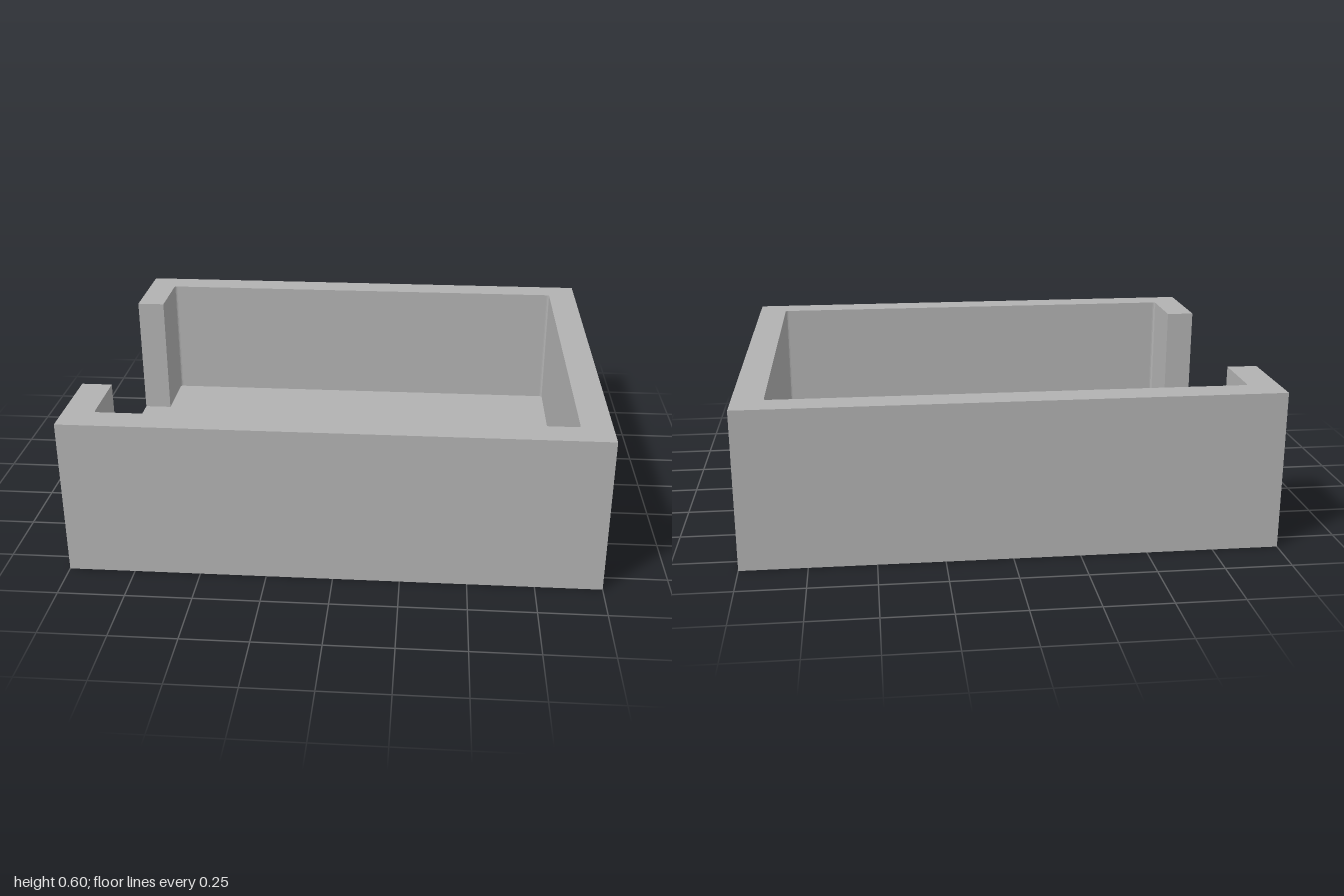
import * as THREE from 'three';

const HALF_X = 1, HALF_Z = 0.833, HEIGHT = 0.605;
const FLOOR = 0.09;                   // floor thickness
const IN_X = 0.884, IN_Z = 0.718;     // pocket half sizes
const GAP = 0.463;                    // half width of the side opening
const R = 0.012;                      // tiny fillet in the pocket corners

export function createModel() {
  const model = new THREE.Group();
  model.name = 'openTray';
  const grey = new THREE.MeshStandardMaterial({ color: 0xb2b2b2 });
  grey.name = 'plain grey';

  // Floor slab
  const floor = new THREE.Mesh(new THREE.BoxGeometry(2 * HALF_X, FLOOR, 2 * HALF_Z), grey);
  floor.name = 'floor';
  floor.position.y = FLOOR / 2;
  model.add(floor);

  // C-shaped wall, open in the middle of the -x side
  const s = new THREE.Shape();
  s.moveTo(-HALF_X, -HALF_Z);
  s.lineTo(HALF_X, -HALF_Z);
  s.lineTo(HALF_X, HALF_Z);
  s.lineTo(-HALF_X, HALF_Z);
  s.lineTo(-HALF_X, GAP);
  s.lineTo(-IN_X, GAP);
  s.lineTo(-IN_X, IN_Z - R);
  s.quadraticCurveTo(-IN_X, IN_Z, -IN_X + R, IN_Z);
  s.lineTo(IN_X - R, IN_Z);
  s.quadraticCurveTo(IN_X, IN_Z, IN_X, IN_Z - R);
  s.lineTo(IN_X, -IN_Z + R);
  s.quadraticCurveTo(IN_X, -IN_Z, IN_X - R, -IN_Z);
  s.lineTo(-IN_X + R, -IN_Z);
  s.quadraticCurveTo(-IN_X, -IN_Z, -IN_X, -IN_Z + R);
  s.lineTo(-IN_X, -GAP);
  s.lineTo(-HALF_X, -GAP);
  s.closePath();

  const wallGeometry = new THREE.ExtrudeGeometry(s, {
    depth: HEIGHT - FLOOR, bevelEnabled: false, curveSegments: 4,
  });
  wallGeometry.rotateX(-Math.PI / 2);
  const walls = new THREE.Mesh(wallGeometry, grey);
  walls.name = 'walls';
  walls.position.y = FLOOR;
  model.add(walls);

  return model;
}
